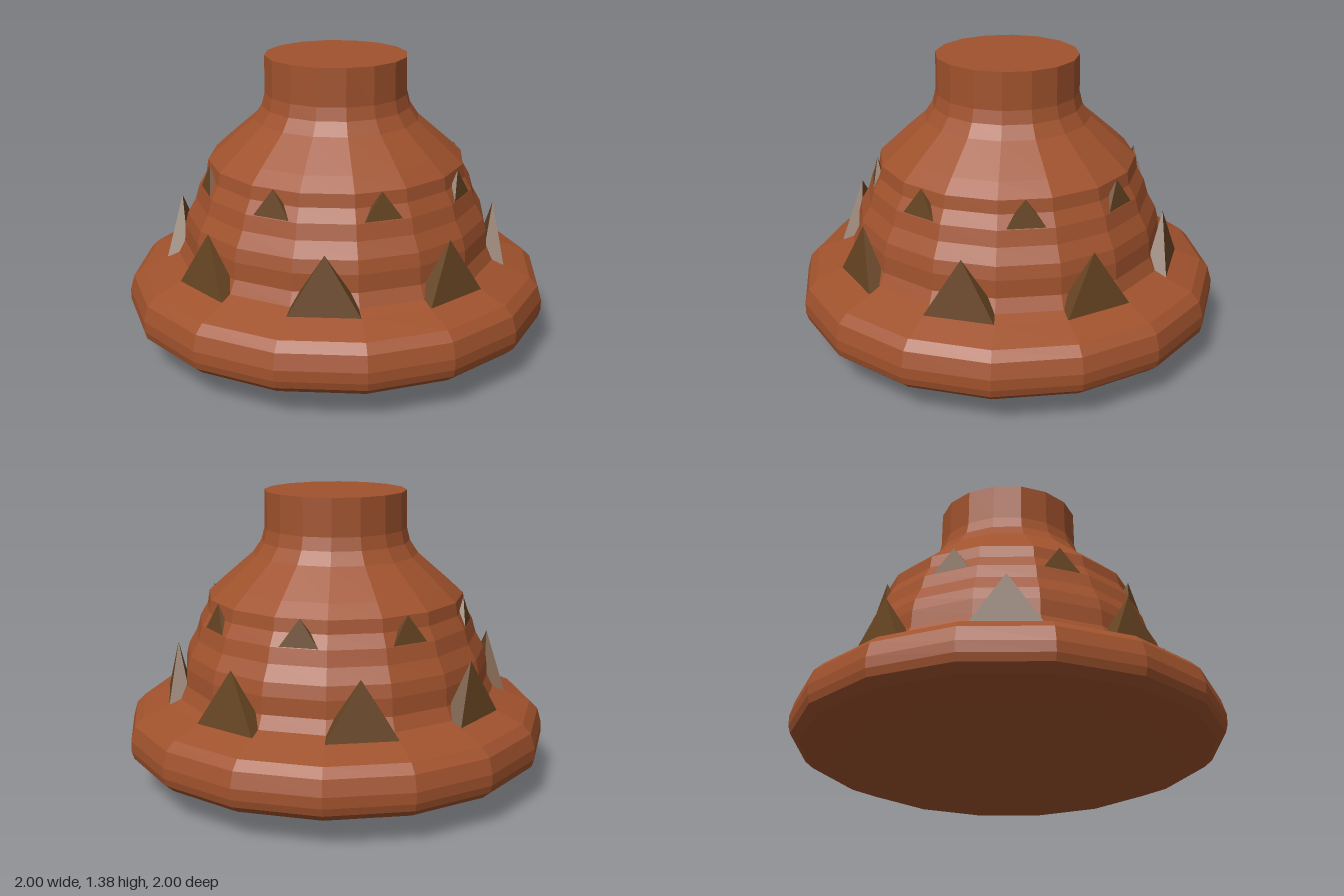
import * as THREE from 'three';

// Square pyramid, stretched to width x height x depth, base on y = 0
function spikeGeometry(width, height, depth) {
  const geo = new THREE.ConeGeometry(Math.SQRT1_2, 1, 4);
  geo.rotateY(Math.PI / 4);
  geo.translate(0, 0.5, 0);
  geo.scale(width, height, depth);
  return geo;
}

export function createModel() {
  const model = new THREE.Group();
  const bodyMat = new THREE.MeshStandardMaterial({ color: 0xa0522d, flatShading: true });
  const spikeMat = new THREE.MeshStandardMaterial({ color: 0x654321, flatShading: true });

  // Turned body: rounded base rim, two tiers and a neck, closed at both ends
  const profile = [
    [0, 0], [0.5, 0], [0.79, 0.065], [0.95, 0.13], [0.99, 0.165], [1, 0.2], [1, 0.25],
    [0.98, 0.32], [0.94, 0.36], [0.81, 0.41], [0.76, 0.43], [0.73, 0.49], [0.725, 0.57],
    [0.71, 0.63], [0.67, 0.7], [0.65, 0.77], [0.615, 0.83], [0.605, 0.89], [0.54, 0.95],
    [0.39, 1.08], [0.35, 1.14], [0.335, 1.2], [0.333, 1.375], [0, 1.375],
  ].map(([r, y]) => new THREE.Vector2(r, y));
  const body = new THREE.Mesh(new THREE.LatheGeometry(profile, 16), bodyMat);
  body.name = 'body';
  model.add(body);

  // Two staggered rings of eight spikes
  const rings = [
    { name: 'lowerSpikes', y: 0.41, r: 0.749, turn: Math.PI / 16, size: [0.316, 0.26, 0.102] },
    { name: 'upperSpikes', y: 0.715, r: 0.612, turn: -Math.PI / 16, size: [0.255, 0.182, 0.07] },
  ];
  for (const { name, y, r, turn, size } of rings) {
    const ring = new THREE.Group();
    ring.name = name;
    const geo = spikeGeometry(...size);
    for (let i = 0; i < 8; i++) {
      const a = turn + (i * Math.PI) / 4;
      const spike = new THREE.Mesh(geo, spikeMat);
      spike.name = 'spike';
      spike.position.set(Math.sin(a) * r, y, Math.cos(a) * r);
      spike.rotation.y = a;
      ring.add(spike);
    }
    model.add(ring);
  }
  return model;
}
